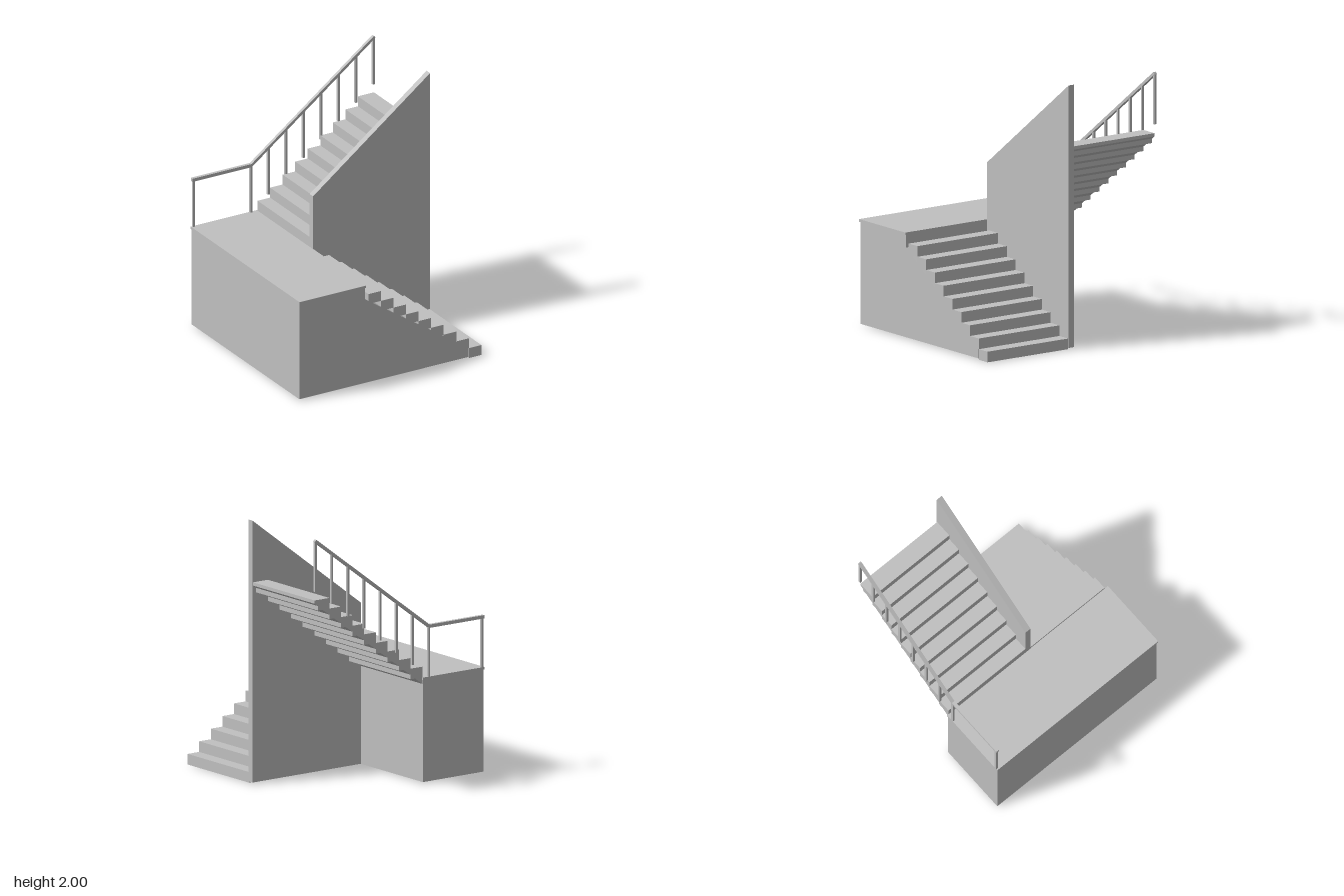
import * as THREE from 'three';

export function createModel() {
  const model = new THREE.Group();
  model.name = 'staircase';
  const concrete = new THREE.MeshStandardMaterial({ color: 0xc0c0c0 });
  concrete.name = 'grey concrete';

  const add = (name, geometry, parent = model) => {
    const mesh = new THREE.Mesh(geometry, concrete);
    mesh.name = name;
    parent.add(mesh);
    return mesh;
  };
  // box given by its limits on each axis
  const box = (name, x0, x1, y0, y1, z0, z1, parent) => {
    const g = new THREE.BoxGeometry(x1 - x0, y1 - y0, z1 - z0);
    return add(name, g.translate((x0 + x1) / 2, (y0 + y1) / 2, (z0 + z1) / 2), parent);
  };
  // side profile in x, y extruded from z0 to z1
  const slab = (name, points, z0, z1) => {
    const shape = new THREE.Shape(points.map(([x, y]) => new THREE.Vector2(x, y)));
    const g = new THREE.ExtrudeGeometry(shape, { depth: z1 - z0, bevelEnabled: false });
    return add(name, g.translate(0, 0, z0));
  };

  const edge = -0.225, run = 0.1083, rise = 0.0806, count = 9, end = 0.785;

  // landing block with a slightly wider top
  box('landingBlock', -0.79, edge, 0.01, 0.785, -0.775, 0.775);
  box('landingTop', -0.795, -0.222, 0.785, 0.805, -0.78, 0.785);

  // dividing wall with a sloping top
  slab('dividingWall', [[edge, 0.01], [end, 0.01], [end, 2], [edge, 1.235]], -0.02, 0.03);

  // lower flight: separate blocks over a sloping solid base
  slab('lowerFlightBase', [[edge, 0.01], [0.67, 0.01], [0.67, 0.085], [edge, 0.69]], 0.03, 0.775);
  const lower = new THREE.Group();
  lower.name = 'lowerSteps';
  model.add(lower);
  for (let i = 0; i < count; i++) {
    const x = 0.78 - i * run;
    box('lowerStep', x - run, x, i * rise, (i + 1) * rise, 0.03, 0.775, lower);
  }

  // upper flight: stepped top and sawtooth underside
  const profile = [[edge, 0.755]];
  for (let i = 0; i < count; i++) {
    const x = edge + (i + 1) * run, y = 0.805 + i * rise;
    profile.push([x - run + 0.068, y], [x, y], [x, y + rise - 0.046]);
  }
  const top = 0.805 + count * rise;
  profile.push([0.78, top - 0.025], [0.78, top]);
  for (let i = count - 1; i >= 0; i--) {
    const x = edge + i * run, y = 0.805 + (i + 1) * rise;
    profile.push([x, y]);
    if (i > 0) profile.push([x, y - rise]);
  }
  slab('upperFlight', profile, -0.768, -0.02);

  // railing along the back edge
  const railing = new THREE.Group();
  railing.name = 'railing';
  model.add(railing);
  const z = -0.772, bendX = -0.28, bendY = 1.188, topX = 0.782, topY = 1.985;
  const post = (name, x, y0, y1) =>
    box(name, x - 0.009, x + 0.009, y0, y1, z - 0.009, z + 0.009, railing);
  box('levelHandrail', -0.79, bendX + 0.008, 1.175, 1.2, z - 0.0125, z + 0.0125, railing);
  const dx = topX - bendX, dy = topY - bendY;
  const rail = add('slopingHandrail', new THREE.BoxGeometry(Math.hypot(dx, dy), 0.022, 0.025), railing);
  rail.position.set((bendX + topX) / 2, (bendY + topY) / 2, z);
  rail.rotation.z = Math.atan2(dy, dx);
  post('landingPost', -0.775, 0.8, 1.185);
  for (let i = 0; i <= 7; i++) {
    const t = i / 7, y = bendY + t * dy;
    post('stairPost', bendX + t * (dx - 0.006), y - 0.387, y);
  }
  return model;
}
